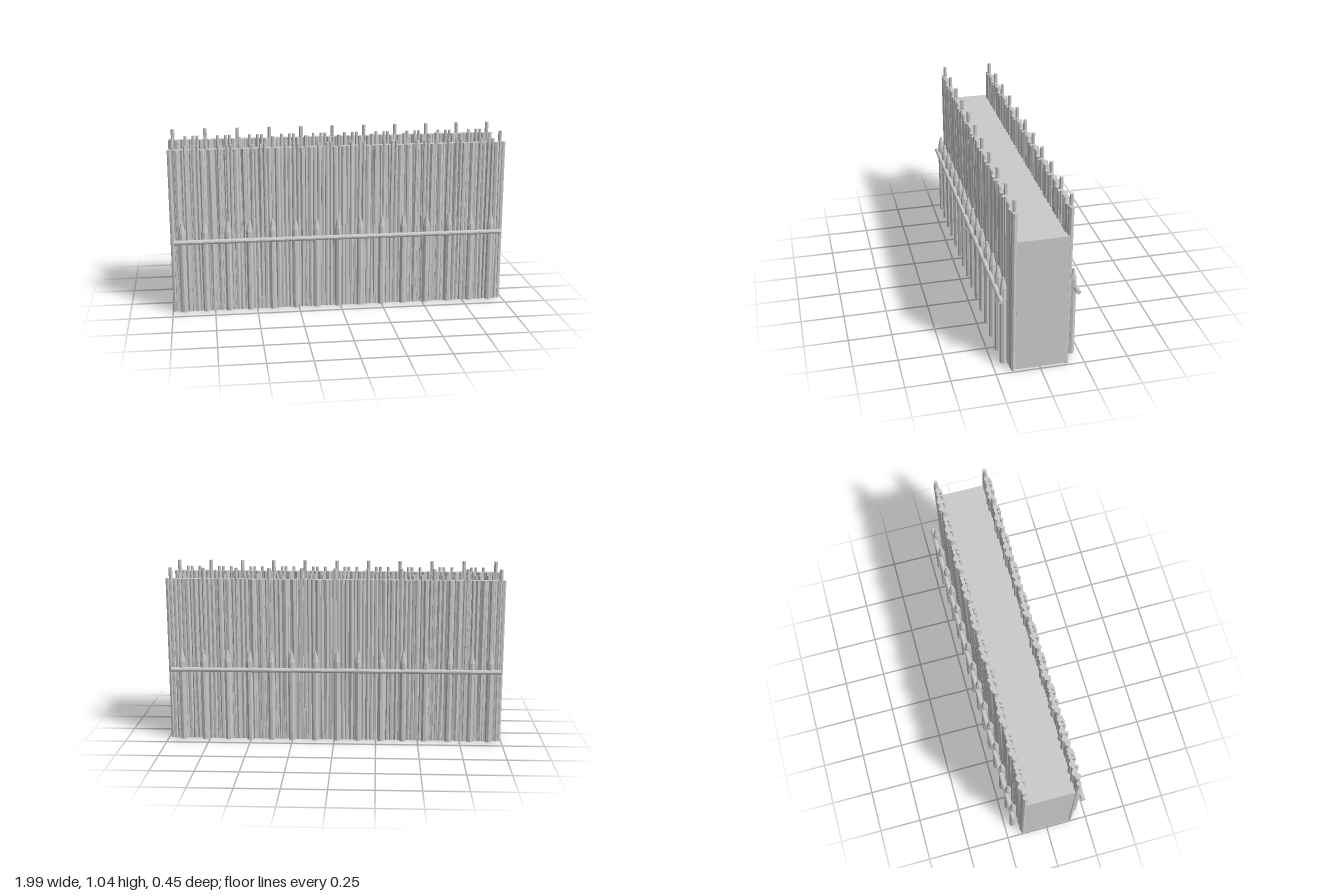
import * as THREE from 'three';

const grey = new THREE.MeshStandardMaterial({ color: 0xcccccc, flatShading: true, side: THREE.DoubleSide });

// Small seeded generator for hand-hewn irregularity
function seeded(seed) {
  return () => {
    seed = (seed * 16807) % 2147483647;
    return seed / 2147483647;
  };
}

function add(parent, geometry, name, x = 0, y = 0, z = 0) {
  const mesh = new THREE.Mesh(geometry, grey);
  mesh.name = name;
  mesh.position.set(x, y, z);
  parent.add(mesh);
  return mesh;
}

// Upright log standing on the ground, bent slightly from foot to head
function logGeometry(height, rTop, rBottom, footZ, headZ, turn, sway) {
  const g = new THREE.CylinderGeometry(rTop, rBottom, height, 7, 3);
  g.rotateY(turn);
  g.translate(0, height / 2, 0);
  const p = g.attributes.position;
  for (let i = 0; i < p.count; i++) {
    const t = p.getY(i) / height;
    p.setZ(i, p.getZ(i) + footZ + (headZ - footZ) * t);
    p.setX(i, p.getX(i) + sway * Math.sin(t * Math.PI));
  }
  g.computeVertexNormals();
  return g;
}

// One row of closely packed logs; the same eight-log bay is repeated along it
function logRow(name) {
  const row = new THREE.Group();
  row.name = name;
  const pitch = 0.0241, perBay = 8, count = 81;
  for (let i = 0; i < count; i++) {
    const k = i % perBay;
    const rnd = seeded(1371 + k * 977 + (i >> 3) * 13);
    rnd();
    const tall = k === 0, medium = k === 3 || k === 5 || k === 6;
    const height = tall ? 1.04 : medium ? 1.0 : 0.975;
    const headZ = tall ? 0.143 : medium ? 0.162 : 0.139 + 0.016 * (k % 2);
    const rTop = tall ? 0.011 : medium ? 0.009 : 0.016;
    const footZ = 0.148 + 0.006 * rnd();
    const sway = (rnd() - 0.5) * 0.006;
    add(row, logGeometry(height, rTop, 0.0155, footZ, headZ, rnd() * 6, sway),
      'log', -0.97 + i * pitch);
  }
  // Broad logs closing the two ends and the gaps behind the thin heads
  for (let i = 0; i < count; i++) {
    add(row, logGeometry(0.975, 0.0145, 0.0135, 0.15, 0.147, i * 1.7, 0),
      'backingLog', Math.min(-0.985 + i * 0.0246, 0.976));
  }
  return row;
}

// Sharpened stakes held by a horizontal rail
function stakeFence(name, xs, z, railZ) {
  const fence = new THREE.Group();
  fence.name = name;
  const profile = [[0, 0.01], [0.02, 0.01], [0.02, 0.49], [0.006, 0.555], [0, 0.557]]
    .map(([r, y]) => new THREE.Vector2(r, y));
  const stake = new THREE.LatheGeometry(profile, 8);
  xs.forEach((x, i) => {
    add(fence, stake, 'stake', x, 0, z).rotation.y = i * 0.9;
  });
  const rail = new THREE.CylinderGeometry(0.0135, 0.0135, 1.945, 10);
  rail.rotateZ(Math.PI / 2);
  add(fence, rail, 'rail', -0.008, 0.44, railZ);
  return fence;
}

export function createModel() {
  const model = new THREE.Group();
  model.name = 'palisadeWall';

  // Matching log rows, the rear one shifted straight back
  const front = logRow('frontLogs');
  const back = logRow('backLogs');
  back.position.z = -0.30;
  model.add(front, back);

  // Core between the rows: walkway and end panels, open underneath
  const core = new THREE.Group();
  core.name = 'core';
  const walkway = new THREE.PlaneGeometry(1.985, 0.285);
  walkway.rotateX(-Math.PI / 2);
  add(core, walkway, 'walkway', -0.003, 0.808, -0.005);
  for (const side of [-1, 1]) {
    const panel = new THREE.PlaneGeometry(0.285, 0.8);
    panel.rotateY(side * Math.PI / 2);
    add(core, panel, 'endPanel', -0.003 + side * 0.9925, 0.408, -0.005);
  }
  model.add(core);

  // Stake fences on both faces
  model.add(stakeFence('frontFence',
    [-0.93, -0.80, -0.665, -0.54, -0.405, -0.27, -0.145, -0.015, 0.115, 0.245, 0.375, 0.515, 0.65, 0.785, 0.905],
    0.19, 0.212));
  model.add(stakeFence('backFence',
    [-0.92, -0.81, -0.68, -0.54, -0.41, -0.28, -0.145, -0.02, 0.11, 0.25, 0.37, 0.50, 0.63, 0.77, 0.90],
    -0.199, -0.212));

  return model;
}
